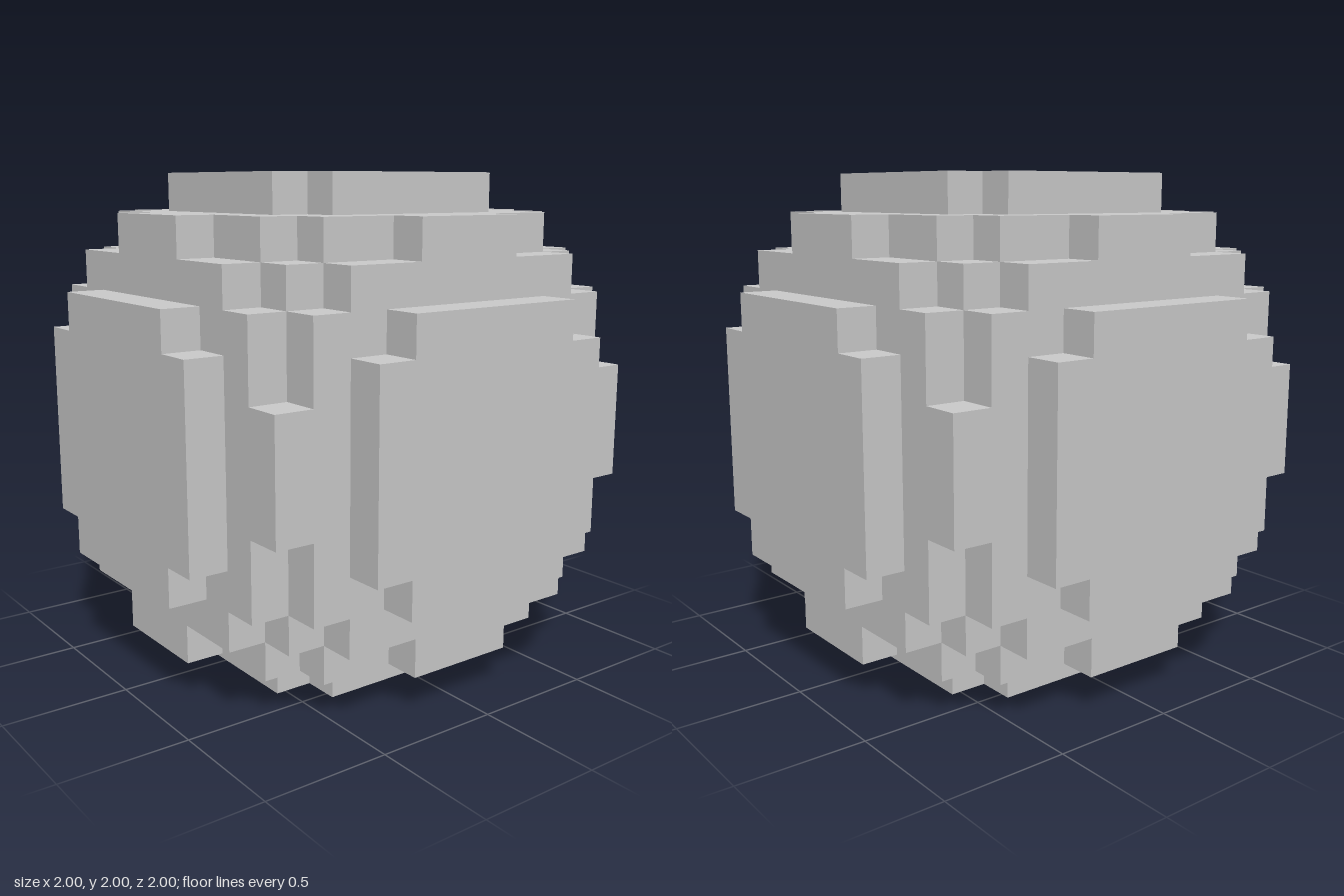
import * as THREE from 'three';
import { mergeGeometries } from 'three/addons/utils/BufferGeometryUtils.js';

const CELLS = 13;             // voxels across the ball
const HALF = 6;               // cell indices run from -6 to 6
const LIMIT = 51;             // largest squared distance of a filled cell
const SIZE = 2 / CELLS;

// Outermost filled cell of the column at (i, j), or -1 when it is empty
function columnTop(i, j) {
  const rest = LIMIT - i * i - j * j;
  return rest < 0 ? -1 : Math.min(HALF, Math.floor(Math.sqrt(rest)));
}

// Stepped surface facing +z: each row is cut into runs of equal height
function steppedSide() {
  const tiles = [];
  for (let j = -HALF; j <= HALF; j++) {
    let start = -HALF;
    while (start <= HALF) {
      const top = columnTop(start, j);
      let end = start;
      while (end < HALF && columnTop(end + 1, j) === top) end++;
      if (top >= 0) {
        const tile = new THREE.PlaneGeometry((end - start + 1) * SIZE, SIZE);
        tile.translate((start + end) / 2 * SIZE, j * SIZE, (top + 0.5) * SIZE);
        tiles.push(tile);
      }
      start = end + 1;
    }
  }
  return mergeGeometries(tiles);
}

export function createModel() {
  const group = new THREE.Group();
  group.name = 'voxelBall';
  const material = new THREE.MeshStandardMaterial({ color: 0xcccccc, flatShading: true });
  const side = steppedSide();
  const q = Math.PI / 2;

  // The same stepped surface turned to all six directions closes the ball
  const turns = {
    frontSide: [0, 0], leftSide: [0, q], backSide: [0, 2 * q],
    rightSide: [0, -q], topSide: [-q, 0], bottomSide: [q, 0],
  };
  for (const [name, [rx, ry]] of Object.entries(turns)) {
    const mesh = new THREE.Mesh(side.clone().rotateX(rx).rotateY(ry), material);
    mesh.name = name;
    mesh.position.y = 1;
    group.add(mesh);
  }
  return group;
}
